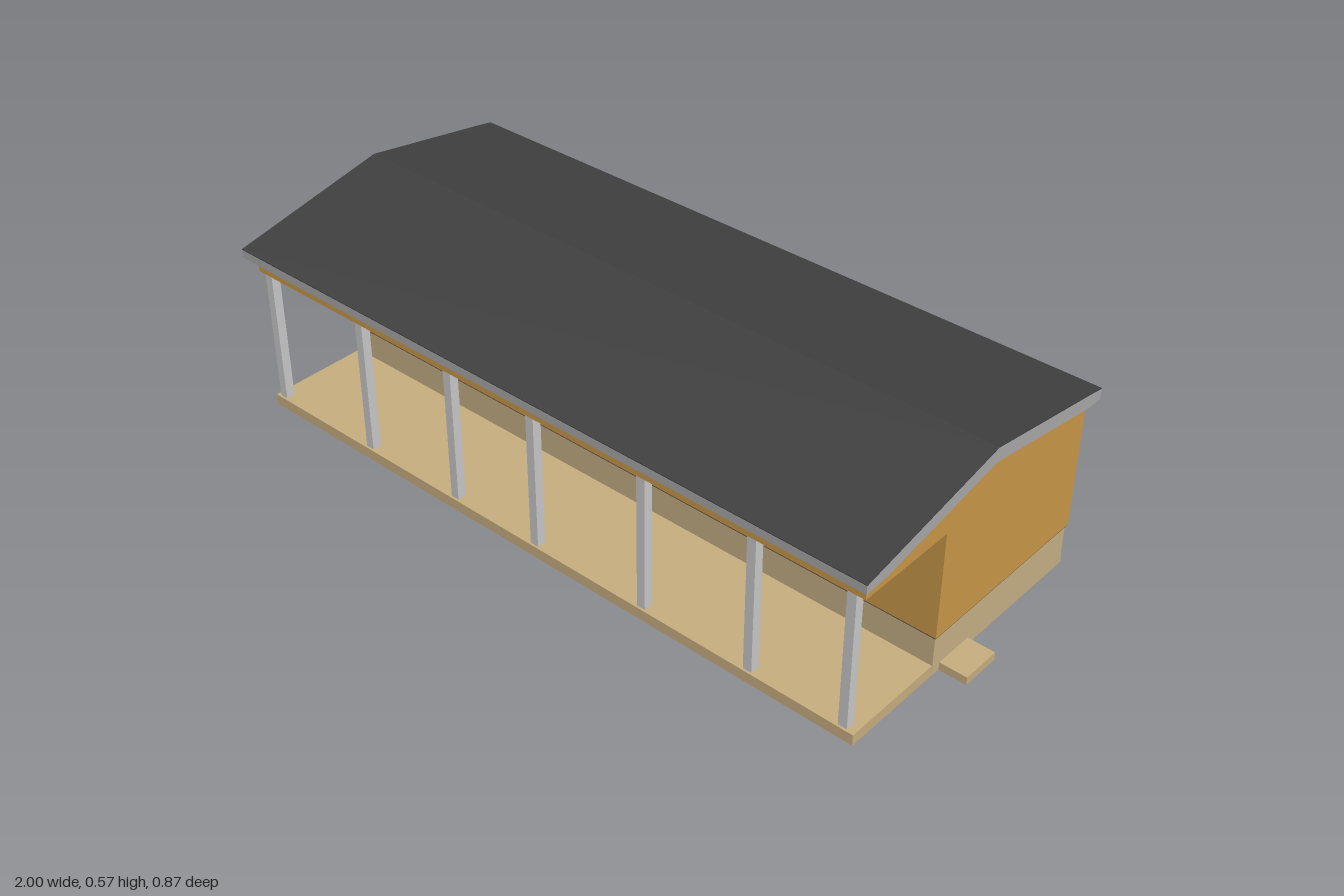
import * as THREE from 'three';

const mat = (name, color) => Object.assign(new THREE.MeshStandardMaterial({ color }), { name });

export function createModel() {
  const model = new THREE.Group();
  model.name = 'house';
  const wood = mat('ochre wood', 0xc99748);
  const stone = mat('tan plinth', 0xc5af85);
  const slab = mat('sand slab', 0xc8ae80);
  const sill = mat('dark sill', 0x6b5a4a);
  const roof = mat('charcoal roof', 0x404040);
  const trim = mat('grey trim', 0xa8a8a8);
  const steel = mat('light grey post', 0xc8c8c8);

  const add = (name, geometry, material) => {
    const mesh = new THREE.Mesh(geometry, material);
    mesh.name = name;
    model.add(mesh);
  };

  // Box given by its limits on each axis
  const box = (name, [x0, x1], [y0, y1], [z0, z1], material) => {
    const g = new THREE.BoxGeometry(x1 - x0, y1 - y0, z1 - z0);
    g.translate((x0 + x1) / 2, (y0 + y1) / 2, (z0 + z1) / 2);
    add(name, g, material);
  };

  // Side profile of [z, y] points, extruded along x
  const prism = (name, points, x0, x1, material) => {
    const shape = new THREE.Shape(points.map(([z, y]) => new THREE.Vector2(z, y)));
    const g = new THREE.ExtrudeGeometry(shape, { depth: x1 - x0, bevelEnabled: false });
    g.rotateY(-Math.PI / 2).translate(x1, 0, 0);
    add(name, g, material);
  };

  // Ground slab with porch floor, plinth with flared back foot, side step
  box('porchFloor', [-0.973, 0.925], [0, 0.03], [-0.404, 0.409], slab);
  prism('plinth', [[0.121, 0.02], [0.121, 0.111], [-0.404, 0.111], [-0.404, 0.035], [-0.41, 0], [0.1, 0]],
    -0.974, 0.926, stone);
  box('sideStep', [0.92, 1], [0, 0.022], [-0.017, 0.093], slab);
  box('sill', [-0.976, 0.928], [0.11, 0.116], [-0.408, 0.123], sill);

  // Walls and gables, with the deep beam over the porch
  prism('walls', [
    [0.125, 0.115], [0.125, 0.408], [0.409, 0.408], [0.409, 0.453], [0.37, 0.456],
    [-0.013, 0.529], [-0.385, 0.471], [-0.41, 0.471], [-0.41, 0.115],
  ], -0.978, 0.93, wood);

  // Roof: grey body with a thin charcoal covering
  const top = [[0.437, 0.476], [-0.013, 0.567], [-0.385, 0.508], [-0.435, 0.499]];
  const lowered = top.map(([z, y]) => [z, y - 0.002]);
  prism('roofFascia', [
    ...lowered, [-0.433, 0.47], [-0.385, 0.47], [-0.013, 0.528], [0.37, 0.455], [0.437, 0.451],
  ], -1, 0.95, trim);
  prism('roofCovering', [...top, ...lowered.slice().reverse()], -1, 0.95, roof);

  // Porch posts
  for (const x of [-0.95, -0.61, -0.298, -0.025, 0.316, 0.63, 0.892]) {
    box('porchPost', [x - 0.012, x + 0.012], [0.03, 0.408], [0.378, 0.403], steel);
  }

  return model;
}
